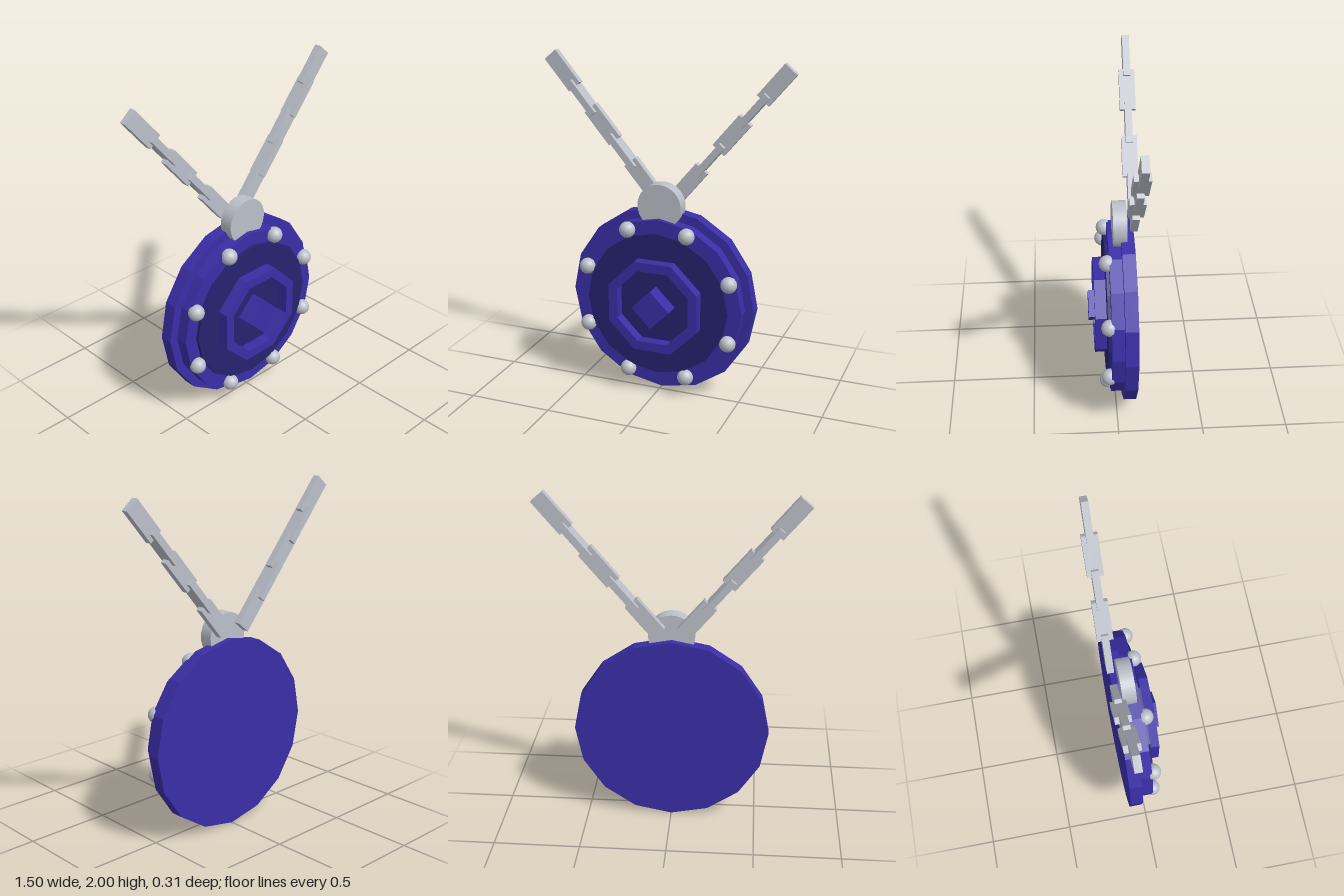
import * as THREE from 'three';

const CY = 0.57; // height of the medallion centre

function material(name, color, flatShading) {
  const m = new THREE.MeshStandardMaterial({ color, flatShading });
  m.name = name;
  return m;
}

export function createModel() {
  const model = new THREE.Group();
  model.name = 'medallionOnChain';
  const blue = material('blue enamel', 0x3a2ea6, true);
  const navy = material('dark blue enamel', 0x25236f, true);
  const silver = material('silver', 0xbbbfc8, false);

  function add(name, geometry, mat, parent = model) {
    const mesh = new THREE.Mesh(geometry, mat);
    mesh.name = name;
    parent.add(mesh);
    return mesh;
  }

  // Prism facing +z, between two depths
  function disc(name, radius, sides, y, z0, z1, mat) {
    const g = new THREE.CylinderGeometry(radius, radius, z1 - z0, sides);
    g.rotateX(Math.PI / 2).translate(0, y, (z0 + z1) / 2);
    return add(name, g, mat);
  }

  // Stepped body
  disc('backPlate', 0.567, 16, CY, -0.11, -0.035, blue);
  disc('middlePlate', 0.515, 16, CY, -0.035, 0.037, blue);
  disc('facePlate', 0.435, 16, CY, 0.037, 0.055, navy);

  // Raised octagonal frame
  const octagon = (r) => Array.from({ length: 8 }, (_, i) => {
    const a = (i + 0.5) * Math.PI / 4;
    return new THREE.Vector2(r * Math.cos(a), r * Math.sin(a));
  });
  const frame = new THREE.Shape(octagon(0.296));
  frame.holes.push(new THREE.Path(octagon(0.237).reverse()));
  const frameGeometry = new THREE.ExtrudeGeometry(frame, { depth: 0.07, bevelEnabled: false });
  add('octagonFrame', frameGeometry.translate(0, CY, 0.051), blue);

  // Central diamond
  disc('centreDiamond', 0.115, 4, CY, 0.05, 0.153, blue);

  // Studs around the rim
  const studGeometry = new THREE.SphereGeometry(0.048, 16, 12);
  for (let i = 0; i < 8; i++) {
    const a = (i + 0.5) * Math.PI / 4;
    add('stud', studGeometry, silver)
      .position.set(0.475 * Math.cos(a), CY + 0.475 * Math.sin(a), 0.048);
  }

  // Round clasp at the top
  disc('clasp', 0.133, 32, 1.153, -0.07, 0.01, silver);

  // Two chains of links, alternately turned by a quarter
  const tilt = THREE.MathUtils.degToRad(40);
  for (const side of [1, -1]) {
    const chain = new THREE.Group();
    chain.name = side > 0 ? 'leftChain' : 'rightChain';
    model.add(chain);
    for (let i = 0; i < 5; i++) {
      const [w, d] = i % 2 ? [0.04, 0.09] : [0.09, 0.04];
      const link = add('chainLink', new THREE.BoxGeometry(w, 0.235, d), silver, chain);
      link.position.set(side * (0.145 + i * 0.1238), 1.286 + i * 0.1485, -0.107);
      link.rotation.z = -side * tilt;
    }
  }
  return model;
}
